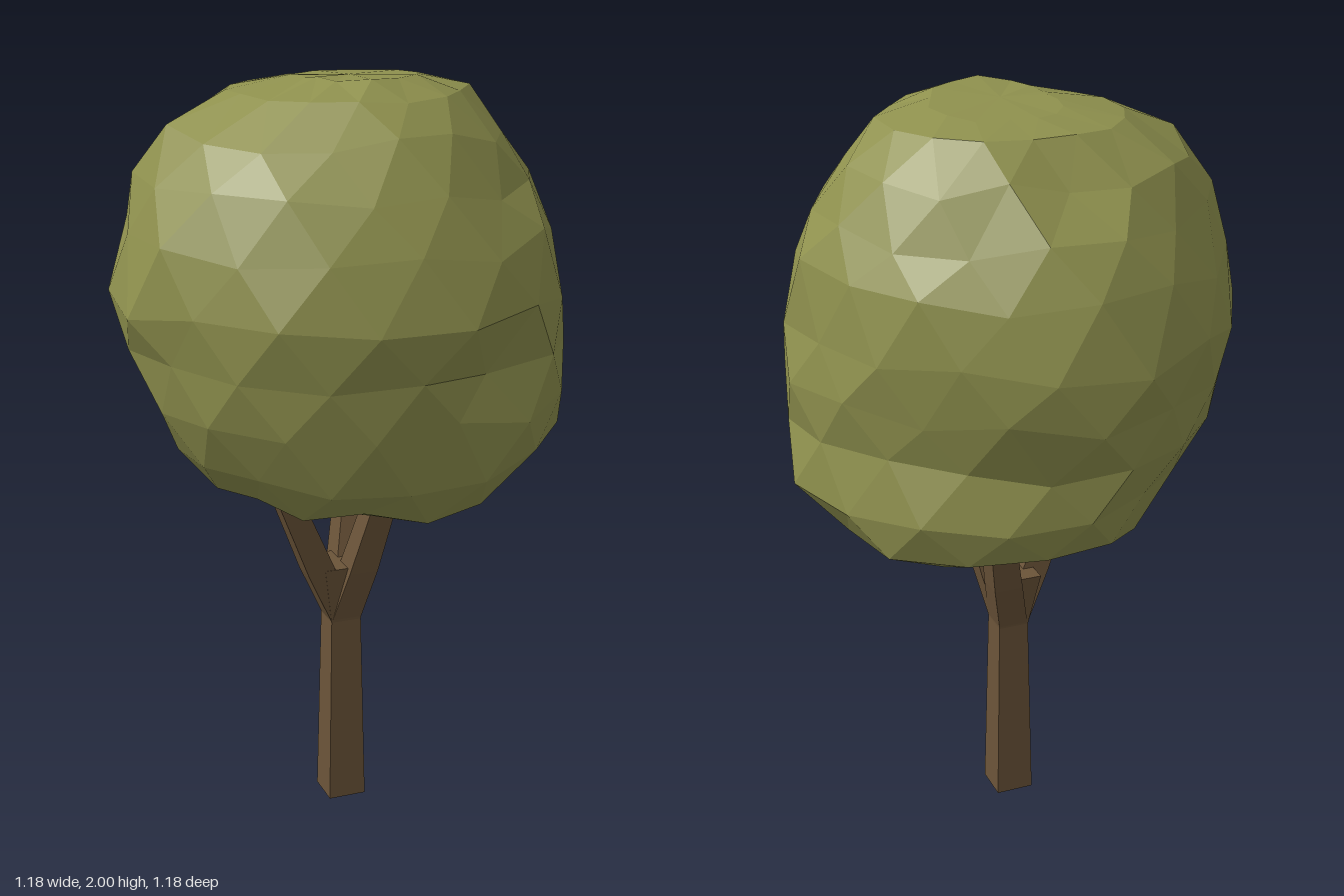
import * as THREE from 'three';

const leafGreen = new THREE.MeshStandardMaterial({ color: 0x8f914e });
const barkBrown = new THREE.MeshStandardMaterial({ color: 0x6b5439 });
leafGreen.name = 'leafGreen';
barkBrown.name = 'barkBrown';

const V = (x, y, z) => new THREE.Vector3(x, y, z);

// Small seeded noise in -1..1
let seed = 11;
const noise = () => {
  seed = (seed * 16807) % 2147483647;
  return (seed / 2147483647) * 2 - 1;
};

// Faceted skin over rings of equal length (bottom to top), closed by fans
function loft(rings, low, high) {
  const pos = [];
  const tri = (...pts) => pts.forEach((p) => pos.push(p.x, p.y, p.z));
  const n = rings[0].length, last = rings.length - 1;
  for (let j = 0; j < n; j++) {
    const k = (j + 1) % n;
    for (let i = 0; i < last; i++) {
      const L = rings[i], U = rings[i + 1];
      if (i % 2 === 0) {
        tri(L[j], U[j], L[k]);
        tri(U[j], U[k], L[k]);
      } else {
        tri(L[j], U[j], U[k]);
        tri(L[j], U[k], L[k]);
      }
    }
    tri(low, rings[0][j], rings[0][k]);
    tri(rings[last][k], rings[last][j], high);
  }
  const g = new THREE.BufferGeometry();
  g.setAttribute('position', new THREE.Float32BufferAttribute(pos, 3));
  g.computeVertexNormals();
  return g;
}

// Square-section limb through [x, y, z, halfX, halfZ] stations
function limb(name, stations) {
  const rings = stations.map(([x, y, z, hx, hz = hx]) => [
    V(x + hx, y, z - hz), V(x + hx, y, z + hz), V(x - hx, y, z + hz), V(x - hx, y, z - hz),
  ]);
  const centre = (s) => V(s[0], s[1], s[2]);
  const mesh = new THREE.Mesh(loft(rings, centre(stations[0]), centre(stations.at(-1))), barkBrown);
  mesh.name = name;
  return mesh;
}

// Height, then radius towards +x, +x+z, +z, -x+z, -x, -x-z, -z, +x-z
const canopyRows = [
  [0.905, 0.30, 0.28, 0.26, 0.20, 0.15, 0.20, 0.32, 0.42],
  [0.95, 0.47, 0.44, 0.40, 0.36, 0.35, 0.35, 0.47, 0.53],
  [1.06, 0.58, 0.55, 0.51, 0.47, 0.45, 0.45, 0.51, 0.54],
  [1.20, 0.58, 0.57, 0.55, 0.53, 0.51, 0.50, 0.53, 0.51],
  [1.33, 0.575, 0.58, 0.57, 0.57, 0.55, 0.54, 0.585, 0.53],
  [1.46, 0.565, 0.59, 0.605, 0.595, 0.59, 0.55, 0.60, 0.54],
  [1.62, 0.545, 0.55, 0.55, 0.56, 0.56, 0.53, 0.54, 0.53],
  [1.74, 0.485, 0.49, 0.48, 0.50, 0.52, 0.49, 0.46, 0.48],
  [1.86, 0.42, 0.41, 0.40, 0.42, 0.45, 0.42, 0.37, 0.41],
  [1.95, 0.34, 0.31, 0.31, 0.28, 0.28, 0.28, 0.28, 0.31],
  [1.983, 0.20, 0.21, 0.22, 0.13, 0.11, 0.14, 0.16, 0.21],
];

function canopyGeometry() {
  const n = 16;
  const rings = canopyRows.map(([y, ...radii], i) => {
    const edge = i === 0 || i >= canopyRows.length - 2;
    return Array.from({ length: n }, (_, j) => {
      const t = (j + (i % 2) / 2) / n; // every other row is shifted half a facet
      const f = t * 8, a = Math.floor(f) % 8;
      let r = THREE.MathUtils.lerp(radii[a], radii[(a + 1) % 8], f - Math.floor(f));
      r += 0.014 * noise();
      const angle = t * Math.PI * 2;
      const dy = (edge ? 0.004 : 0.024) * noise();
      // small hollow low on the front
      if (i === 4 && Math.abs(angle - 1.3) < 0.15) r -= 0.05;
      const x = r * Math.cos(angle), z = r * Math.sin(angle);
      const tilt = i === canopyRows.length - 1 ? 0.05 * z : 0;
      return V(x, Math.min(2, y + dy + tilt), z);
    });
  });
  return loft(rings, V(0.08, 0.89, -0.03), V(0.02, 1.985, 0.02));
}

export function createModel() {
  const tree = new THREE.Group();
  tree.name = 'tree';

  // Trunk with a flared fork
  tree.add(limb('trunk', [
    [0, 0, 0.02, 0.052],
    [0, 0.53, 0.02, 0.042],
    [-0.008, 0.69, 0.012, 0.058, 0.068],
  ]));

  // Three branches reaching into the leaves
  const ends = [[0.1, 0.13], [0.105, -0.15], [-0.2, 0.07]];
  ends.forEach(([x, z], i) => {
    tree.add(limb('branch' + (i + 1), [
      [0, 0.53, 0.02, 0.041],
      [x * 0.36, 0.68, 0.02 + (z - 0.02) * 0.36, 0.04],
      [x, 0.98, z, 0.032],
    ]));
  });

  // Rounded faceted crown
  const canopy = new THREE.Mesh(canopyGeometry(), leafGreen);
  canopy.name = 'canopy';
  tree.add(canopy);
  return tree;
}
